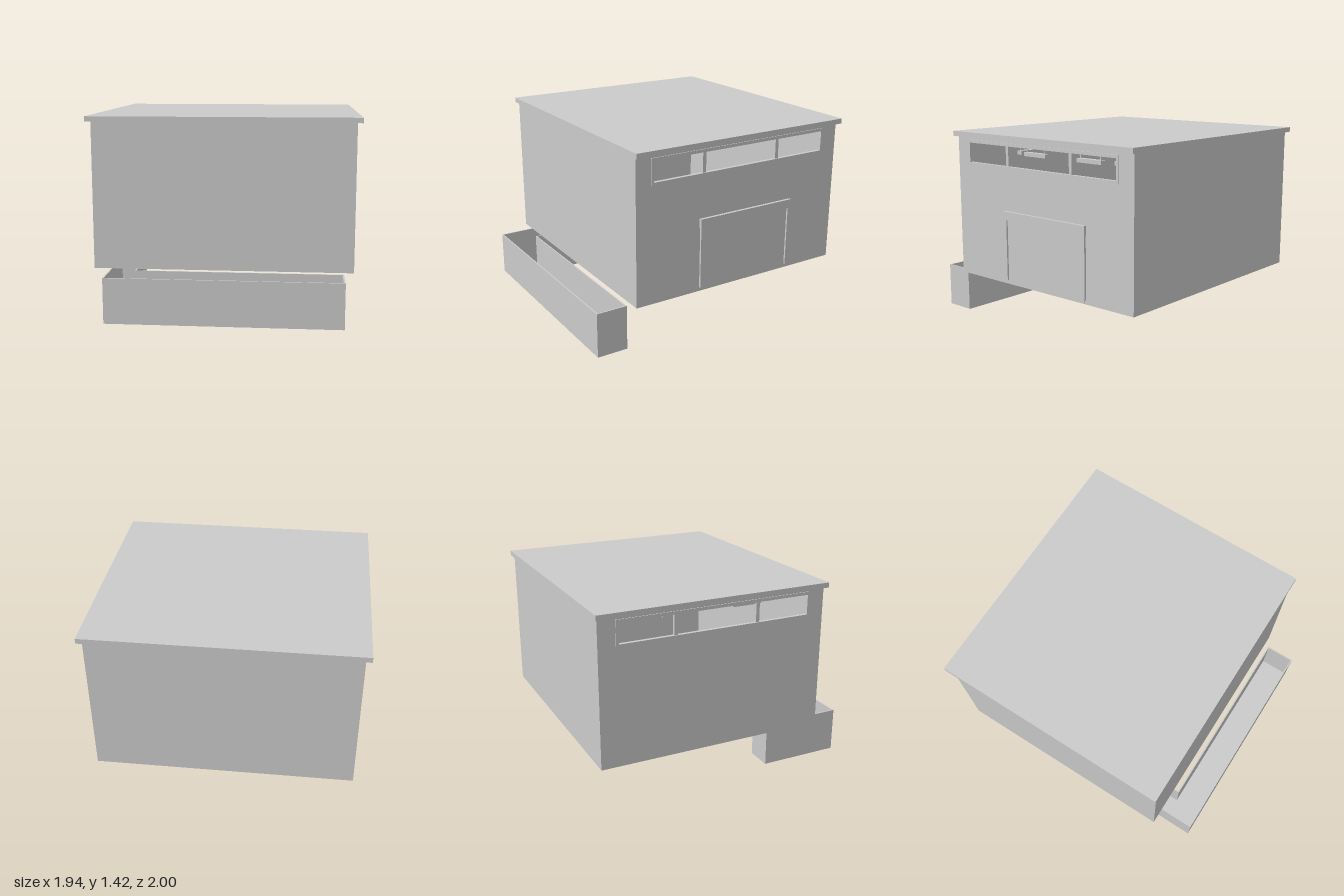
import * as THREE from 'three';

const grey = new THREE.MeshStandardMaterial({ color: 0xcccccc, flatShading: true });

// Box given by its min and max on each axis
function box(parent, name, x0, x1, y0, y1, z0, z1) {
  const mesh = new THREE.Mesh(new THREE.BoxGeometry(x1 - x0, y1 - y0, z1 - z0), grey);
  mesh.position.set((x0 + x1) / 2, (y0 + y1) / 2, (z0 + z1) / 2);
  mesh.name = name;
  parent.add(mesh);
  return mesh;
}

// Corner points of a rectangle
function rect(x0, x1, y0, y1) {
  return [[x0, y0], [x1, y0], [x1, y1], [x0, y1]].map(p => new THREE.Vector2(...p));
}

// Upright panel in the zy plane with a rectangular opening, from x to x + depth
function openPanel(parent, name, x, depth, outer, inner) {
  const shape = new THREE.Shape(rect(-outer[1], -outer[0], outer[2], outer[3]));
  shape.holes.push(new THREE.Path(rect(-inner[1], -inner[0], inner[2], inner[3])));
  const geo = new THREE.ExtrudeGeometry(shape, { depth, bevelEnabled: false });
  geo.rotateY(Math.PI / 2);
  const mesh = new THREE.Mesh(geo, grey);
  mesh.position.x = x;
  mesh.name = name;
  parent.add(mesh);
}

// L-shaped open trough in front of and partly under the building
function makeTrough() {
  const g = new THREE.Group();
  g.name = 'trough';
  const xz = (pts) => pts.map(([x, z]) => new THREE.Vector2(x, -z));
  const outer = xz([[-0.81, 1], [0.86, 1], [0.86, 0.77], [-0.615, 0.77], [-0.615, 0.39], [-0.81, 0.39]]);
  const inner = xz([[-0.8, 0.99], [0.85, 0.99], [0.85, 0.78], [-0.625, 0.78], [-0.625, 0.4], [-0.8, 0.4]]);
  const wall = new THREE.Shape(outer);
  wall.holes.push(new THREE.Path(inner));
  [['troughWalls', wall, 0.328], ['troughFloor', new THREE.Shape(outer), 0.01]].forEach(([name, s, depth]) => {
    const geo = new THREE.ExtrudeGeometry(s, { depth, bevelEnabled: false });
    geo.rotateX(-Math.PI / 2);
    const mesh = new THREE.Mesh(geo, grey);
    mesh.name = name;
    g.add(mesh);
  });
  return g;
}

// Hanging lamp bar with two rods, running along z or x from a to b
function lamp(parent, alongX, c, a, b) {
  const put = (name, half, y0, y1, s, e) => alongX
    ? box(parent, name, s, e, y0, y1, c - half, c + half)
    : box(parent, name, c - half, c + half, y0, y1, s, e);
  put('lampBar', 0.022, 1.225, 1.255, a, b);
  for (const p of [a + 0.02, b - 0.02]) put('lampRod', 0.004, 1.255, 1.32, p - 0.004, p + 0.004);
}

// Rectangular ceiling frame carrying the lamps
function makeLights() {
  const g = new THREE.Group();
  g.name = 'ceilingLights';
  for (const z of [0.507, -0.49]) {
    box(g, 'crossBeam', -0.66, 0.6, 1.315, 1.345, z - 0.045, z + 0.045);
    for (const x of [-0.6, -0.15, 0.3]) lamp(g, true, z, x, x + 0.23);
    for (const x of [-0.605, 0.55]) box(g, 'ceilingMount', x - 0.02, x + 0.02, 1.345, 1.388, z - 0.02, z + 0.02);
  }
  for (const x of [-0.605, 0.55]) {
    box(g, 'longBeam', x - 0.045, x + 0.045, 1.32, 1.342, -0.445, 0.462);
    for (const [a, b] of [[0.18, 0.41], [-0.38, -0.145]]) lamp(g, false, x, a, b);
  }
  return g;
}

export function createModel() {
  const model = new THREE.Group();
  model.name = 'building';

  // Shell: floor, plain front and back walls, overhanging roof
  const [x0, x1, y0, y1, z0, z1, t] = [-0.93, 0.932, 0.33, 1.388, -0.98, 0.735, 0.02];
  box(model, 'floor', x0 + t, x1 - t, y0, y0 + t, z0 + t, z1 - t);
  box(model, 'frontWall', x0 + t, x1 - t, y0, y1, z1 - t, z1);
  box(model, 'backWall', x0 + t, x1 - t, y0, y1, z0, z0 + t);
  box(model, 'roof', -0.97, 0.97, 1.388, 1.425, -1, 0.75);

  // Side walls with a long window, its frame and two posts
  const opening = [-0.835, 0.6, 1.2, 1.345];
  for (const [side, wallX, frameX] of [['left', x1 - t, x1 - 0.01], ['right', x0, x0 - 0.006]]) {
    openPanel(model, side + 'Wall', wallX, t, [z0, z1, y0, y1], opening);
    openPanel(model, side + 'WindowFrame', frameX, 0.016, [-0.855, 0.62, 1.18, 1.367], opening);
    for (const z of [0.197, -0.427])
      box(model, side + 'WindowPost', wallX + 0.001, wallX + t - 0.001, 1.2, 1.345, z - 0.013, z + 0.013);
  }

  // Shutter door on the left side: hood, guide rails and panel
  box(model, 'doorHood', x1 - 0.005, 0.953, 0.81, 0.875, -0.568, 0.23);
  for (const z of [0.215, -0.555]) box(model, 'doorRail', x1 - 0.005, 0.947, 0.36, 0.81, z - 0.009, z + 0.009);
  box(model, 'doorPanel', x1 - 0.005, x1 + 0.002, 0.335, 0.81, -0.547, 0.207);

  model.add(makeLights(), makeTrough());
  return model;
}
